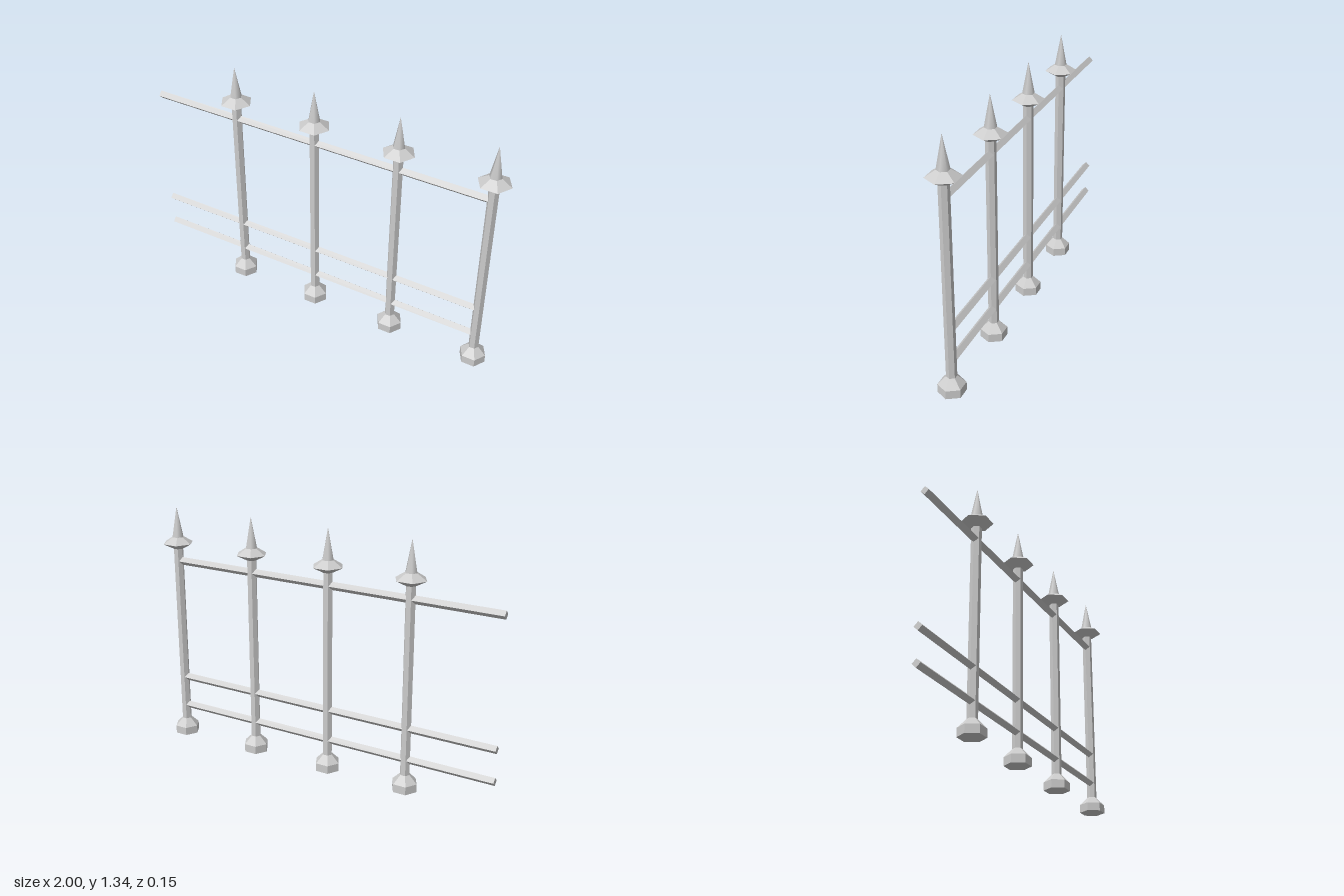
import * as THREE from 'three';

const flat = new THREE.MeshStandardMaterial({ color: 0xcccccc, flatShading: true });
const smooth = new THREE.MeshStandardMaterial({ color: 0xcccccc });

// Six-sided turned part with a corner pointing along x
function turned(name, profile, material = flat) {
  const points = profile.map(([r, y]) => new THREE.Vector2(r, y));
  const mesh = new THREE.Mesh(new THREE.LatheGeometry(points, 6, Math.PI / 2), material);
  mesh.name = name;
  return mesh;
}

function createPost(x) {
  const post = new THREE.Group();
  post.name = 'post';
  post.add(
    turned('foot', [[0, 0], [0.07, 0], [0.07, 0.045], [0.027, 0.088]]),
    turned('shaft', [[0.027, 0.088], [0.027, 1.105]]),
    turned('collar', [[0.027, 1.105], [0.085, 1.136], [0.032, 1.17]]),
    turned('spike', [[0.032, 1.17], [0, 1.337]], smooth),
  );
  post.position.x = x;
  return post;
}

// Diamond-section rail running into the last post
function createRail(y) {
  const start = -1, end = 0.91;
  const geometry = new THREE.CylinderGeometry(0.022, 0.022, end - start, 4);
  geometry.rotateZ(Math.PI / 2);
  const rail = new THREE.Mesh(geometry, flat);
  rail.name = 'rail';
  rail.position.set((start + end) / 2, y, 0);
  return rail;
}

export function createModel() {
  const fence = new THREE.Group();
  fence.name = 'fence';
  for (const x of [-0.51, -0.045, 0.422, 0.912]) fence.add(createPost(x));
  for (const y of [0.173, 0.347, 1.036]) fence.add(createRail(y));
  return fence;
}
